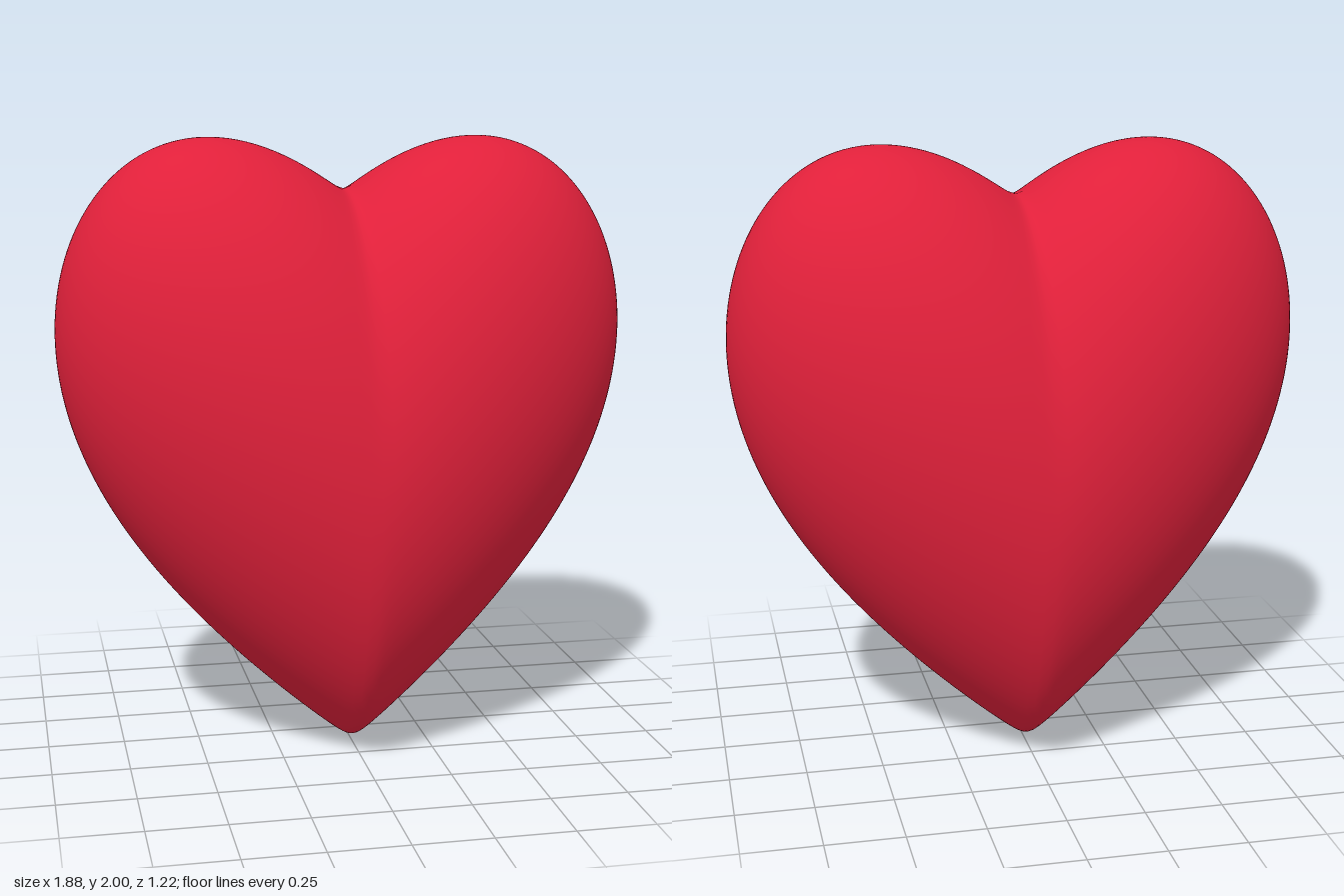
import * as THREE from 'three';
import { mergeVertices } from 'three/addons/utils/BufferGeometryUtils.js';

const HALF_WIDTH = 0.94, HALF_HEIGHT = 0.915, HALF_DEPTH = 0.607;
const LEAN = 0.06;      // one lobe leans back, the other forward
const CREASE = 0.022;   // softness of the cleft and the tip

export function createModel() {
  const group = new THREE.Group();
  group.name = 'heart';

  // An ellipsoid whose sides are lifted by distance from the middle plane
  const sphere = new THREE.SphereGeometry(1, 160, 100);
  sphere.deleteAttribute('uv');
  sphere.deleteAttribute('normal');
  const geometry = mergeVertices(sphere, 1e-5);
  const p = geometry.attributes.position;
  for (let i = 0; i < p.count; i++) {
    const x = p.getX(i) * HALF_WIDTH;
    const d = Math.hypot(x, CREASE) - CREASE;
    const lift = 0.785 * d - 0.31 * d * d;
    p.setXYZ(i, x,
      HALF_HEIGHT * (1 + p.getY(i)) + lift,
      p.getZ(i) * HALF_DEPTH - LEAN * x);
  }
  geometry.computeVertexNormals();

  const body = new THREE.Mesh(geometry, new THREE.MeshStandardMaterial({ color: 0xe0203a }));
  body.name = 'heartBody';
  group.add(body);
  return group;
}
